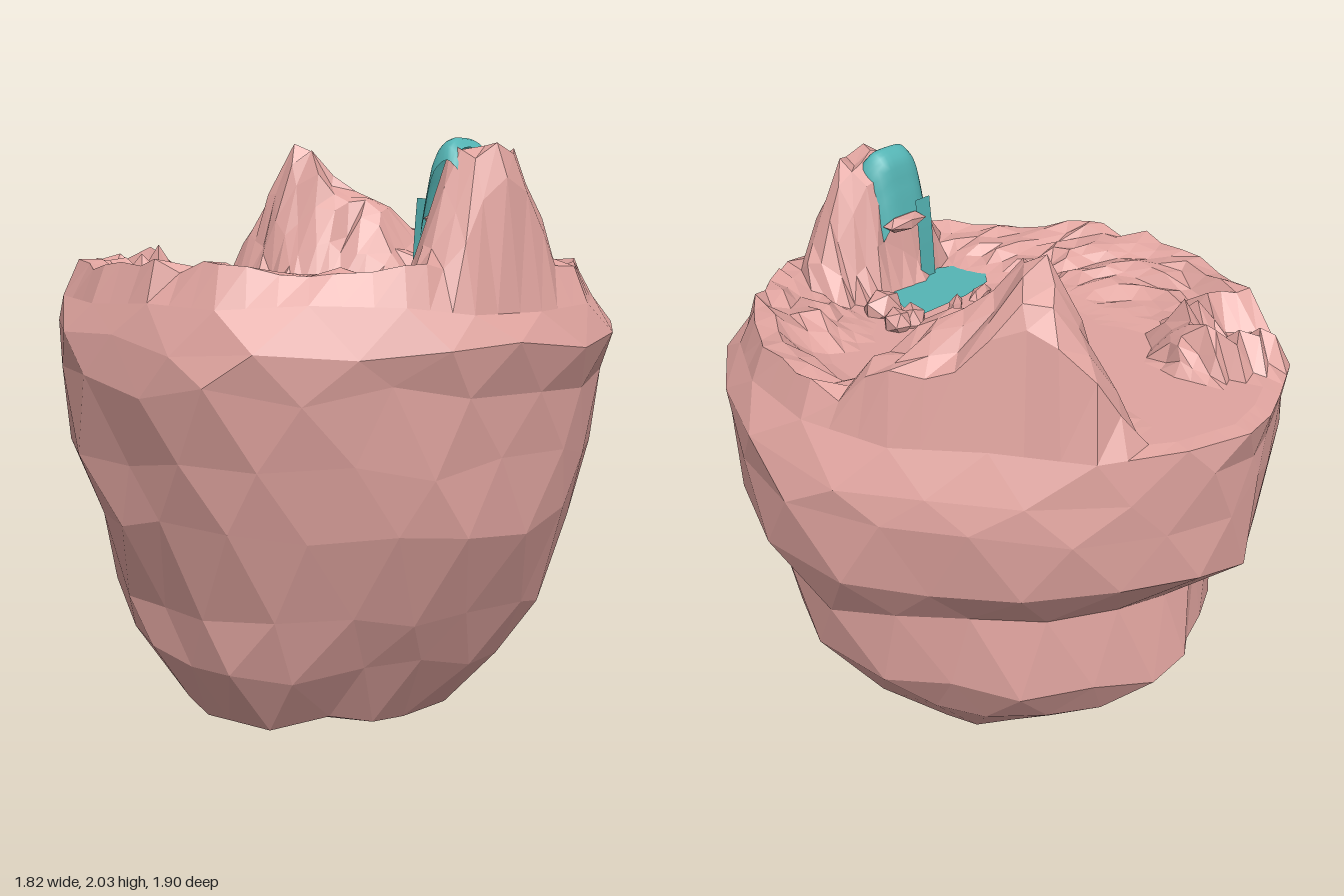
import * as THREE from 'three';
import { ParametricGeometry } from 'three/addons/geometries/ParametricGeometry.js';

const GROUND = 1.5;
// Plan outline at the widest level, [x, z], from the back round by the left side
const OUTLINE = [
  [-0.06, -0.94], [0.15, -0.93], [0.4, -0.8], [0.62, -0.58], [0.78, -0.32], [0.92, -0.08], [0.91, 0.28],
  [0.74, 0.6], [0.55, 0.8], [0.3, 0.94], [0.13, 0.96], [-0.2, 0.92], [-0.42, 0.83], [-0.62, 0.67],
  [-0.85, 0.46], [-0.93, 0.2], [-0.88, -0.1], [-0.85, -0.35], [-0.58, -0.73], [-0.35, -0.83], [-0.2, -0.88],
];
const N = OUTLINE.length;
// Rock levels: y, x min, x max, z min, z max
const LEVELS = [
  [0.15, -0.56, 0.4, -0.4, 0.49], [0.34, -0.7, 0.6, -0.62, 0.65], [0.51, -0.72, 0.72, -0.73, 0.76],
  [0.8, -0.82, 0.77, -0.69, 0.88], [1.0, -0.86, 0.88, -0.91, 0.89], [1.24, -0.93, 0.92, -0.92, 0.92],
  [1.37, -0.9, 0.9, -0.92, 0.97], [1.48, -0.87, 0.83, -0.96, 0.92],
];
// Hills on the top: x, z, reach -x, +x, -z, +z, height, steepness
const HILLS = [
  [-0.07, 0.7, 0.31, 0.34, 0.17, 0.24, 0.44, 1.7],
  [0.4, -0.44, 0.19, 0.4, 0.36, 0.34, 0.52, 1.15],
  [0.5, -0.22, 0.19, 0.3, 0.3, 0.24, 0.33, 1.4],
  [0.64, -0.16, 0.22, 0.25, 0.3, 0.25, 0.2, 1.5],
  [0.45, 0.55, 0.25, 0.25, 0.2, 0.25, 0.08, 1.5],
  [-0.55, 0.5, 0.35, 0.3, 0.3, 0.35, 0.07, 1.5],
];

let seed = 7;
const jitter = (a) => {
  seed = (seed * 16807) % 2147483647;
  return (seed / 2147483647 - 0.5) * 2 * a;
};
const clamp = THREE.MathUtils.clamp;

function terrain(x, z, s) {
  let h = clamp((-x - 0.3) * 0.2, 0, 0.11);                     // gentle slope on the right side
  if (z > -0.65) h = Math.max(h, clamp((s - 0.74) * 0.7, 0, 0.09)); // low rim, open at the back
  for (const [cx, cz, x0, x1, z0, z1, top, k] of HILLS) {
    const d = Math.hypot((x - cx) / (x < cx ? x0 : x1), (z - cz) / (z < cz ? z0 : z1));
    h = Math.max(h, top * clamp(k * (1 - d), 0, 1));
  }
  // ring of rocks around a shallow hollow
  const r = Math.hypot((x + 0.46) / 0.27, (z + 0.58) / 0.16);
  if (r < 1.3) h = Math.max(r < 0.6 ? 0 : h, 0.14 * clamp(1 - Math.abs(r - 0.9) * 2.2, 0, 1));
  return h;
}

// Triangles joining closed rings; shift(i) tells which way ring i is staggered
function loft(rings, shift) {
  const p = [];
  const tri = (...v) => v.forEach((q) => p.push(q[0], q[1], q[2]));
  for (let i = 0; i < rings.length - 1; i++) {
    const a = rings[i], b = rings[i + 1], n = a.length, k = shift(i);
    for (let j = 0; j < n; j++) {
      const m = (j + 1) % n;
      tri(a[j], b[k ? m : j], a[m]);
      if (k) tri(a[j], b[j], b[m]);
      else tri(a[m], b[j], b[m]);
    }
  }
  const g = new THREE.BufferGeometry();
  g.setAttribute('position', new THREE.Float32BufferAttribute(p, 3));
  g.computeVertexNormals();
  return g;
}

export function createModel() {
  const group = new THREE.Group();
  const rock = new THREE.MeshStandardMaterial({ color: 0xe0a49f, flatShading: true, side: THREE.DoubleSide });
  const water = new THREE.MeshStandardMaterial({ color: 0x55b5b5, side: THREE.DoubleSide });
  const add = (name, geometry, material) => {
    const mesh = new THREE.Mesh(geometry, material);
    mesh.name = name;
    group.add(mesh);
    return mesh;
  };

  // Faceted underside and walls: staggered rings fitted to each level
  const rings = LEVELS.map(([y, x0, x1, z0, z1], i) =>
    OUTLINE.map((c, j) => {
      const d = OUTLINE[(j + 1) % N], t = i % 2 ? 0.5 : 0;
      const x = c[0] + (d[0] - c[0]) * t, z = c[1] + (d[1] - c[1]) * t;
      const w = i === LEVELS.length - 1 ? 0.02 : 0.035;
      return [
        x * (x < 0 ? x0 / -0.93 : x1 / 0.92) + jitter(0.015),
        y + jitter(w),
        z * (z < 0 ? z0 / -0.94 : z1 / 0.96) + jitter(0.015),
      ];
    }));
  const tip = OUTLINE.map(() => [-0.05, 0, 0]);
  add('rockBody', loft([tip, ...rings], (i) => (i === 0 ? 0 : (i - 1) % 2)), rock);

  // Top ground: the rim is subdivided, then drawn inwards over the terrain
  const rim = rings[rings.length - 1].flatMap((c, j, all) => {
    const d = all[(j + 1) % N];
    return [0, 1, 2].map((k) => c.map((v, n) => v + ((d[n] - v) * k) / 3));
  });
  const steps = [0.94, 0.88, 0.82, 0.76, 0.7, 0.64, 0.58, 0.51, 0.44, 0.36, 0.26, 0.13, 0];
  const ground = steps.map((s) => rim.map(([rx, , rz]) => {
    if (s === 0) return [0, GROUND, 0];
    const x = rx * s, z = rz * s, h = terrain(x, z, s);
    const rough = h > 0.02 ? 1 : 0;
    return [x + rough * jitter(0.014), GROUND + h + rough * jitter(0.022), z + rough * jitter(0.014)];
  }));
  add('topGround', loft([rim, ...ground], () => 0), rock);

  // Pond lying on the ground
  const pondShape = new THREE.Shape([
    [-0.32, 0.4], [-0.26, 0.34], [-0.12, 0.315], [0.1, 0.32], [0.1, 0.39], [0.05, 0.5],
    [-0.02, 0.56], [-0.2, 0.58], [-0.29, 0.53],
  ].map(([x, z]) => new THREE.Vector2(x, -z)));
  add('pond', new THREE.ShapeGeometry(pondShape).rotateX(-Math.PI / 2).translate(0, 1.513, 0), water);

  // Waterfall: an arched sheet over the cliff, then a thin stream to the pond
  const ribbon = (points, left, right, arch) => {
    const path = new THREE.CatmullRomCurve3(points.map(([y, z]) => new THREE.Vector3(0, y, z)));
    return new ParametricGeometry((u, v, out) => {
      path.getPoint(v, out);
      const e = (2 * u - 1) ** 4;
      out.x = left + (right - left) * u;
      out.y -= arch * e;
      out.z += arch * 0.3 * e;
    }, 10, 12);
  };
  add('waterfall', ribbon([[1.95, 0.69], [1.98, 0.65], [1.95, 0.605], [1.85, 0.575], [1.75, 0.555]], -0.21, 0.01, 0.07), water);
  add('stream', ribbon([[1.8, 0.555], [1.68, 0.545], [1.5, 0.535]], -0.2, -0.13, 0), water);

  // Loose stones: lip under the fall and edge of the pond: x, y, z, width, height, depth
  [
    [-0.07, 1.74, 0.55, 0.1, 0.03, 0.04], [-0.18, 1.5, 0.3, 0.07, 0.035, 0.03],
    [-0.04, 1.5, 0.29, 0.09, 0.04, 0.025], [0.14, 1.51, 0.32, 0.06, 0.06, 0.05],
    [0.2, 1.52, 0.33, 0.06, 0.05, 0.05], [0.14, 1.51, 0.46, 0.06, 0.07, 0.08],
  ].forEach(([x, y, z, w, h, d], i) => {
    const stone = add(i ? 'pondStone' : 'fallLip', new THREE.IcosahedronGeometry(1, 0), rock);
    stone.scale.set(w, h, d);
    stone.position.set(x, y, z);
    stone.rotation.y = i * 0.3;
  });
  return group;
}
